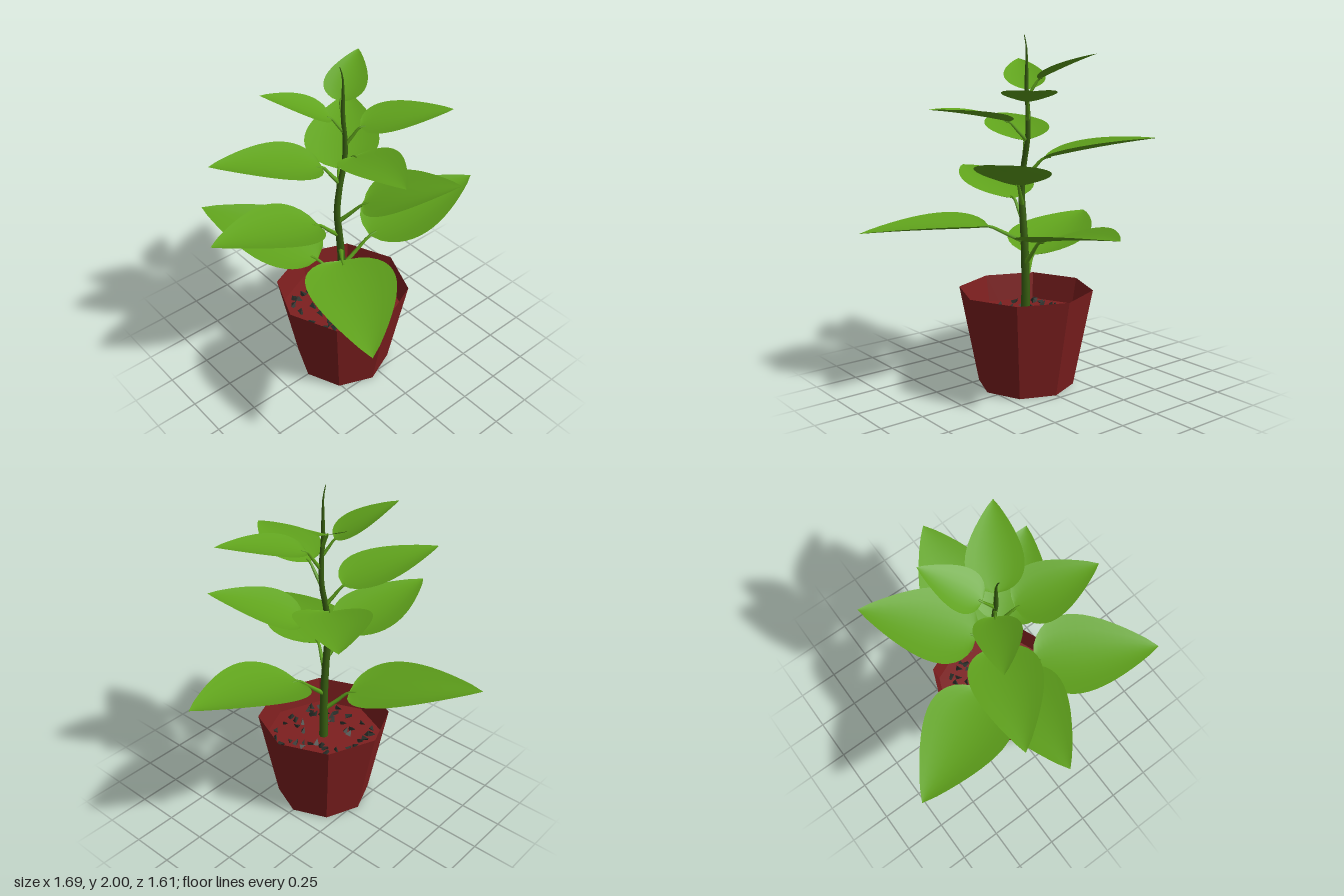
import * as THREE from 'three';

const V = (x, y, z) => new THREE.Vector3(x, y, z);
const UP = V(0, 1, 0);
const POT_X = -0.065;

const paint = (name, color, extra = {}) => {
  const m = new THREE.MeshStandardMaterial({ color, ...extra });
  m.name = name;
  return m;
};

// Stem path (x, y) from soil to tip; it bends only sideways
const STEM = [[-0.065, 0.4], [-0.065, 0.6], [-0.072, 0.8], [-0.09, 1.0], [-0.1, 1.12], [-0.08, 1.28],
  [-0.045, 1.43], [-0.04, 1.56], [-0.053, 1.7], [-0.052, 1.86], [-0.055, 1.94], [-0.073, 2.0]];

function stemX(y) {
  const i = Math.max(1, STEM.findIndex(p => p[1] >= y));
  const [a, b] = [STEM[i - 1], STEM[i]];
  return a[0] + (b[0] - a[0]) * (y - a[1]) / (b[1] - a[1]);
}

// Tube whose radius follows a function of the position along it
function taperedTube(curve, segments, sides, radius) {
  const geo = new THREE.TubeGeometry(curve, segments, 1, sides, false);
  const pos = geo.attributes.position, v = V(0, 0, 0);
  for (let i = 0; i < pos.count; i++) {
    const t = Math.floor(i / (sides + 1)) / segments;
    const c = curve.getPointAt(t);
    v.fromBufferAttribute(pos, i).sub(c).multiplyScalar(radius(t)).add(c);
    pos.setXYZ(i, v.x, v.y, v.z);
  }
  return geo;
}

// Ovate blade: broad rounded base, pointed tip, side edges cupped upward
function leafGeometry(base, tip, width) {
  const geo = new THREE.PlaneGeometry(2, 1, 6, 16);
  const dir = tip.clone().sub(base), length = dir.length();
  const side = dir.clone().cross(UP).normalize();
  const normal = side.clone().cross(dir).normalize();
  const pos = geo.attributes.position;
  for (let i = 0; i < pos.count; i++) {
    const s = pos.getX(i);
    const t = Math.pow(Math.min(1, Math.max(0, pos.getY(i) + 0.5)), 1.4);
    const profile = Math.pow(Math.max(0, Math.sin(Math.PI * Math.pow(t, 0.58))), 0.85);
    const half = 0.5 * width * profile;
    const lift = 0.06 * length * t * (1 - t) + 0.18 * half * s * s;
    const p = base.clone().addScaledVector(dir, t)
      .addScaledVector(side, s * half).addScaledVector(normal, lift);
    pos.setXYZ(i, p.x, p.y, p.z);
  }
  geo.computeVertexNormals();
  return geo;
}

// Each leaf: height on the stem, blade base, blade tip, width
const LEAVES = [
  [0.60, [-0.15, 0.73, -0.12], [-0.48, 0.88, -0.81], 0.50],
  [0.71, [0.11, 0.87, 0.04], [0.84, 1.01, 0.13], 0.50],
  [0.84, [-0.20, 0.93, 0.16], [-0.55, 0.91, 0.80], 0.48],
  [0.95, [-0.21, 1.07, -0.03], [-0.85, 1.20, -0.11], 0.43],
  [1.05, [0.00, 1.18, 0.10], [0.34, 1.36, 0.50], 0.42],
  [1.20, [-0.01, 1.32, -0.09], [0.44, 1.44, -0.53], 0.42],
  [1.30, [-0.15, 1.41, -0.06], [-0.70, 1.53, -0.30], 0.38],
  [1.42, [-0.07, 1.53, 0.11], [-0.15, 1.61, 0.58], 0.33],
  [1.53, [0.02, 1.64, 0.05], [0.42, 1.72, 0.33], 0.30],
  [1.61, [-0.10, 1.70, -0.04], [-0.41, 1.87, -0.22], 0.24],
  [1.66, [-0.02, 1.76, -0.06], [0.26, 1.90, -0.24], 0.23],
];

export function createModel() {
  const model = new THREE.Group();
  model.name = 'pottedPlant';
  const potRed = paint('potRed', 0x7d1f1f, { flatShading: true, side: THREE.DoubleSide });
  const leafGreen = paint('leafGreen', 0x60a31c, { side: THREE.DoubleSide });
  const stemGreen = paint('stemGreen', 0x386011, { side: THREE.DoubleSide });
  const soilDark = paint('soilDark', 0x2c302b, { flatShading: true });

  const add = (name, geo, mat, parent = model) => {
    const mesh = new THREE.Mesh(geo, mat);
    mesh.name = name;
    parent.add(mesh);
    return mesh;
  };

  // Eight-sided pot: thin wall, base and inner floor
  const pot = new THREE.Group();
  pot.name = 'pot';
  pot.position.x = POT_X;
  model.add(pot);
  add('potWall', new THREE.CylinderGeometry(0.388, 0.278, 0.565, 8, 1, true), potRed, pot).position.y = 0.2825;
  const bottom = add('potBase', new THREE.CircleGeometry(0.278, 8), potRed, pot);
  bottom.rotation.x = Math.PI / 2;
  const floor = add('potFloor', new THREE.CircleGeometry(0.357, 8), potRed, pot);
  floor.rotation.x = -Math.PI / 2;
  floor.position.y = 0.41;

  // Scattered soil crumbs
  let seed = 7;
  const rand = () => (seed = (seed * 16807) % 2147483647) / 2147483647;
  const crumb = new THREE.TetrahedronGeometry(0.025);
  for (let i = 0; i < 60; i++) {
    const a = rand() * Math.PI * 2, r = 0.06 + 0.24 * Math.sqrt(rand());
    const m = add('soilCrumb', crumb, soilDark, pot);
    m.position.set(Math.cos(a) * r, 0.418, Math.sin(a) * r);
    m.rotation.set(rand() * 0.8, rand() * 6, rand() * 0.8);
    m.scale.set(1.4, 0.8, 0.5 + rand() * 0.5);
  }

  // Stem
  const stemCurve = new THREE.CatmullRomCurve3(STEM.map(([x, y]) => V(x, y, 0)));
  add('stem', taperedTube(stemCurve, 40, 8, t => t > 0.85 ? 0.002 + 0.06 * (1 - t) : 0.027 - 0.0188 * t), stemGreen);

  // Leaves with their stalks
  for (const [y, b, e, width] of LEAVES) {
    const leaf = new THREE.Group();
    leaf.name = 'leaf';
    model.add(leaf);
    const base = V(...b), tip = V(...e), root = V(stemX(y), y, 0);
    const mid = root.clone().lerp(base, 0.5);
    const end = base.clone().lerp(tip, 0.06);
    const stalk = new THREE.CatmullRomCurve3([root, mid, base, end]);
    const r = 0.008 + width * 0.014;
    add('leafStalk', taperedTube(stalk, 8, 5, t => r * (1 - 0.5 * t)), leafGreen, leaf);
    add('leafBlade', leafGeometry(base, tip, width), leafGreen, leaf);
  }
  return model;
}
